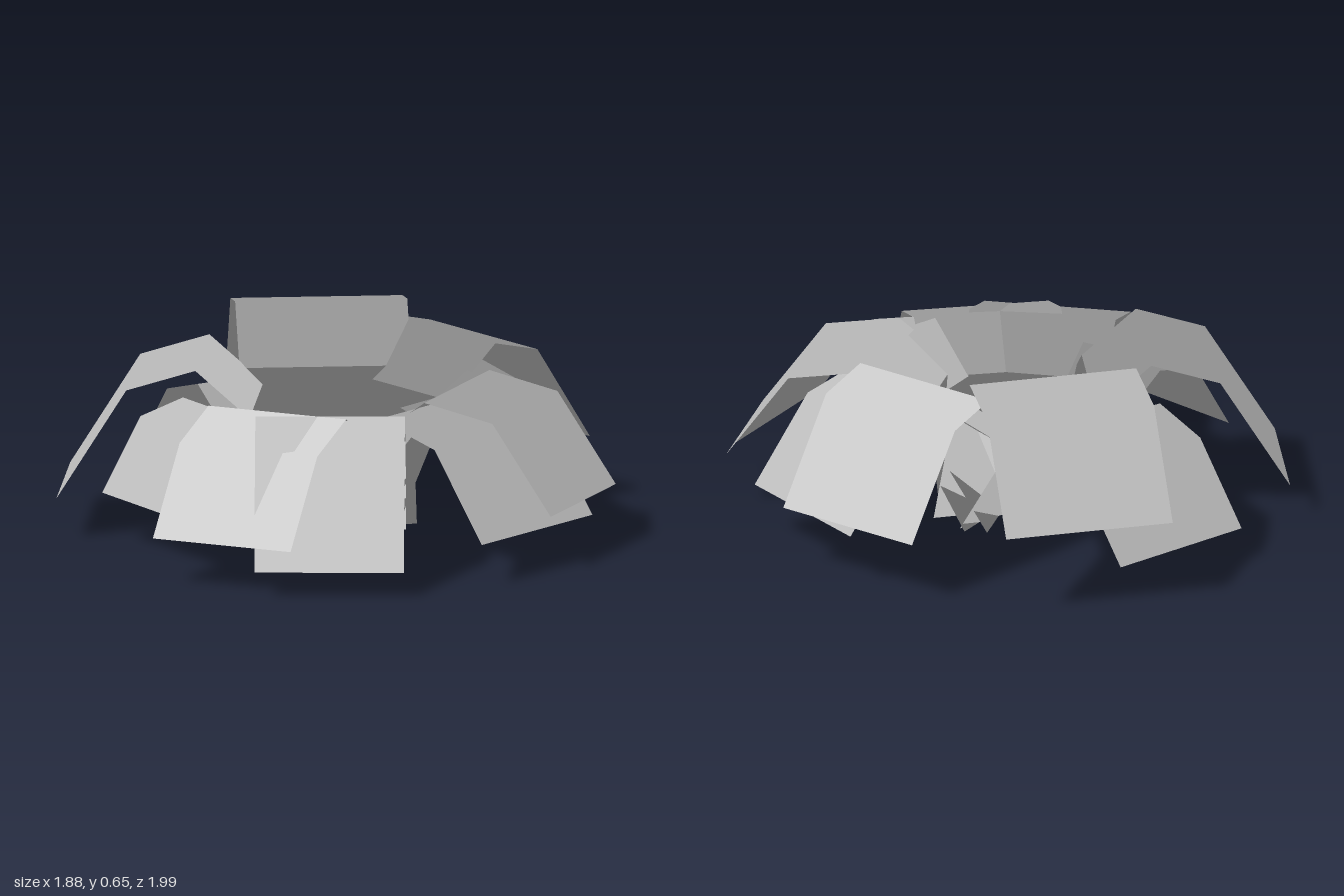
import * as THREE from 'three';

const leafGrey = new THREE.MeshStandardMaterial({ color: 0xb8b8b8, side: THREE.DoubleSide });
leafGrey.name = 'leafGrey';

// Each leaf: outward direction (x, z), width, then peak, shoulder and tip as [radius, height]
const LEAVES = [
  { name: 'backLeaf', dir: [-0.329, -0.944], width: 0.572, peak: [0.49, 0.655], shoulder: [0.72, 0.61], tip: [0.958, 0.285] },
  { name: 'backLeftLeaf', dir: [0.555, -0.832], width: 0.541, peak: [0.485, 0.6], shoulder: [0.67, 0.55], tip: [0.901, 0.215] },
  { name: 'lowerBackLeftLeaf', dir: [0.78, -0.625], width: 0.56, peak: [0.44, 0.52], shoulder: [0.64, 0.46], tip: [0.853, 0.18] },
  { name: 'leftLeaf', dir: [0.984, 0.176], width: 0.503, peak: [0.46, 0.53], shoulder: [0.71, 0.485], tip: [0.924, 0.19] },
  { name: 'lowerFrontLeftLeaf', dir: [0.897, 0.44], width: 0.555, peak: [0.45, 0.495], shoulder: [0.7, 0.43], tip: [0.908, 0.14] },
  { name: 'frontLeaf', dir: [0.255, 0.967], width: 0.496, peak: [0.49, 0.5], shoulder: [0.71, 0.435], tip: [0.96, 0.083] },
  { name: 'frontRightLeaf', dir: [-0.126, 0.992], width: 0.494, peak: [0.47, 0.5], shoulder: [0.72, 0.43], tip: [0.952, 0.157] },
  { name: 'lowerFrontRightLeaf', dir: [-0.65, 0.76], width: 0.546, peak: [0.41, 0.445], shoulder: [0.58, 0.405], tip: [0.734, 0.165] },
  { name: 'rightLeaf', dir: [-0.985, 0.173], width: 0.508, peak: [0.43, 0.587], shoulder: [0.66, 0.515], tip: [0.893, 0.14] },
  { name: 'lowerBackRightLeaf', dir: [-0.707, -0.707], width: 0.53, peak: [0.43, 0.43], shoulder: [0.635, 0.37], tip: [0.845, 0.11] },
];

// A strip of constant width that rises from the root and folds outward and down
function makeLeaf({ name, dir, width, peak, shoulder, tip }) {
  const profile = [[0.03, 0], [peak[0] * 0.58, peak[1] * 0.73], peak, shoulder, tip];
  const geometry = new THREE.PlaneGeometry(width, 1, 1, profile.length - 1);
  const position = geometry.attributes.position;
  const normal = geometry.attributes.normal;
  for (let i = 0; i < position.count; i++) {
    // rows run from tip to root so that the upper side is the front face
    const [radius, height] = profile[profile.length - 1 - Math.floor(i / 2)];
    position.setXYZ(i, position.getX(i), height, radius);
    // one soft direction for the whole leaf, so the folds are not shaded
    normal.setXYZ(i, 0, Math.SQRT1_2, Math.SQRT1_2);
  }
  // the rows were reversed, so turn the corner order to face upward
  const index = geometry.index;
  for (let i = 0; i < index.count; i += 3) {
    const b = index.getX(i + 1);
    index.setX(i + 1, index.getX(i + 2));
    index.setX(i + 2, b);
  }
  const leaf = new THREE.Mesh(geometry, leafGrey);
  leaf.name = name;
  leaf.rotation.y = Math.atan2(dir[0], dir[1]);
  return leaf;
}

export function createModel() {
  const plant = new THREE.Group();
  plant.name = 'plant';
  const rosette = new THREE.Group();
  rosette.name = 'leafRosette';
  rosette.position.x = -0.015;
  for (const spec of LEAVES) rosette.add(makeLeaf(spec));
  plant.add(rosette);
  return plant;
}
